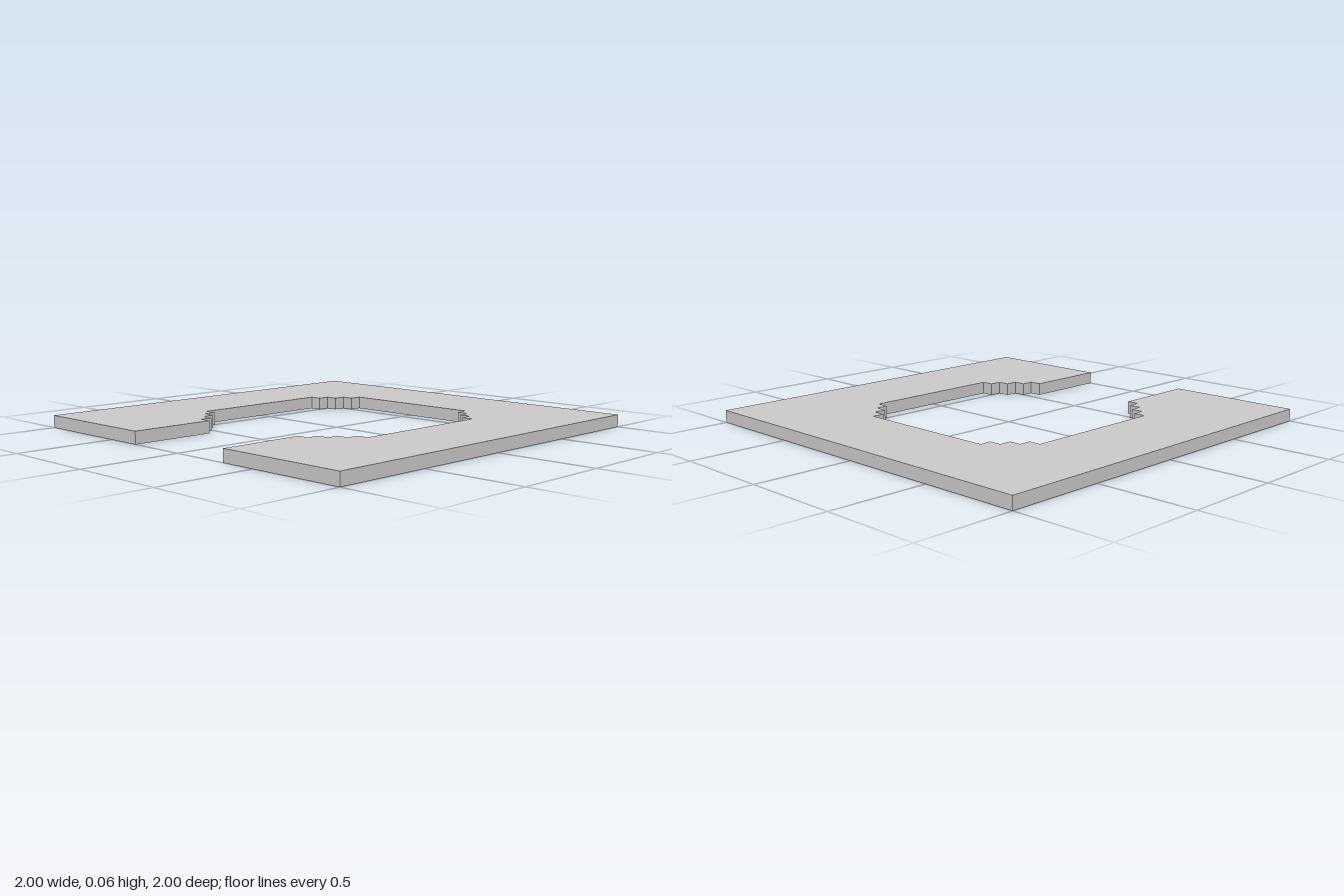
import * as THREE from 'three';

const U = 1 / 16; // grid cell: the plate is 32 x 32 cells, one cell thick

export function createModel() {
  const group = new THREE.Group();
  group.name = 'steppedFrame';

  // Right half of the opening's stepped edge in cells [x, z], from back to front
  const edge = [[6, -9]];
  for (let i = 0; i < 3; i++) edge.push([6 + i, -8 + i], [7 + i, -8 + i]);
  edge.push([9, 6]);
  for (let i = 0; i < 3; i++) edge.push([8 - i, 6 + i], [8 - i, 7 + i]);
  edge.push([5, 9], [5, 16]);

  // Full outline: outer square, then the opening mirrored across x = 0
  const outline = [
    [16, 16], [16, -16], [-16, -16], [-16, 16],
    ...edge.map(([x, z]) => [-x, z]).reverse(),
    ...edge,
  ];
  const shape = new THREE.Shape(outline.map(([x, z]) => new THREE.Vector2(x * U, -z * U)));

  // Flat plate lying on the ground
  const geometry = new THREE.ExtrudeGeometry(shape, { depth: U, bevelEnabled: false });
  geometry.rotateX(-Math.PI / 2);
  const plate = new THREE.Mesh(
    geometry,
    new THREE.MeshStandardMaterial({ color: 0xcccccc, flatShading: true })
  );
  plate.name = 'plate';
  group.add(plate);
  return group;
}
